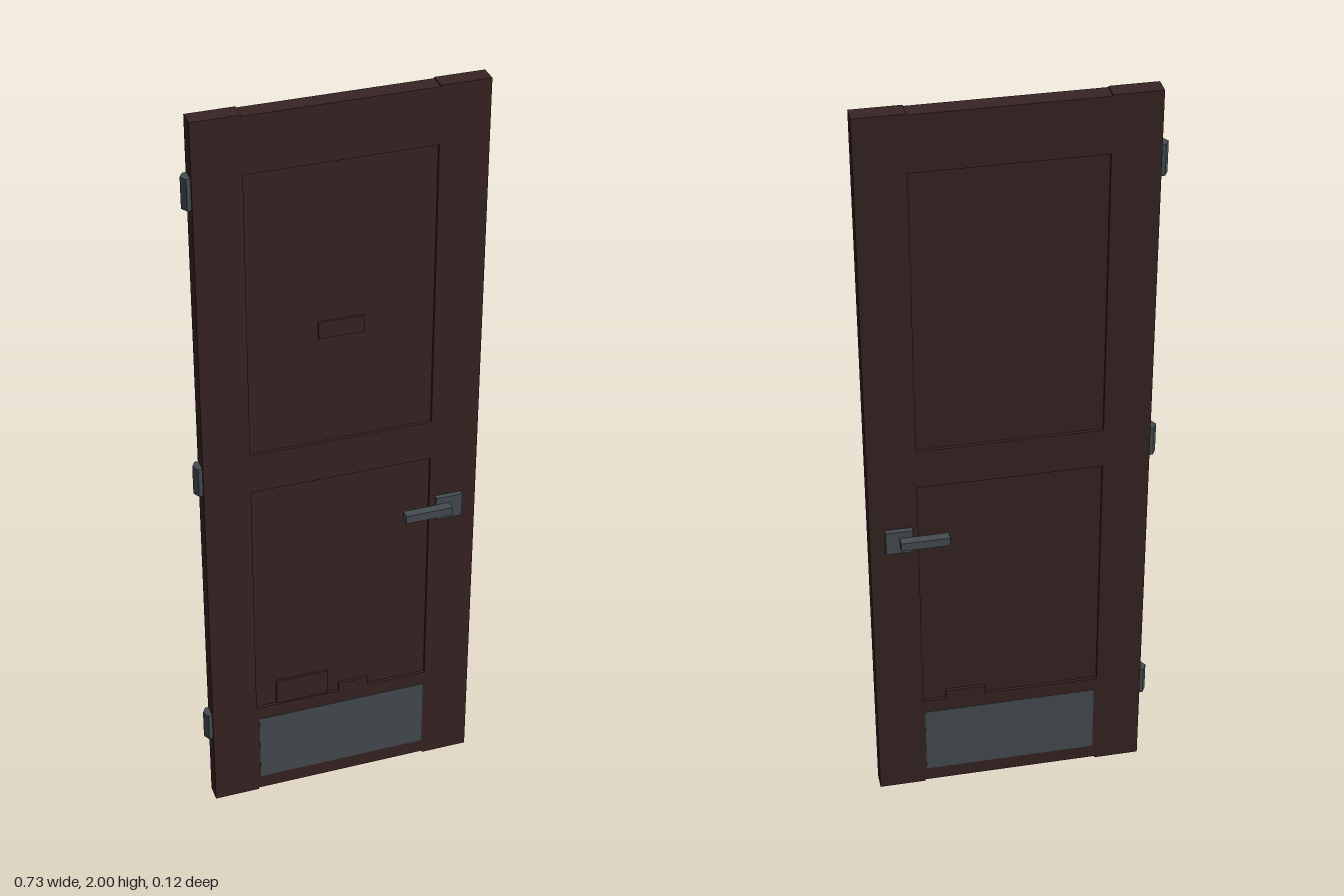
import * as THREE from 'three';

const wood = new THREE.MeshStandardMaterial({ color: 0x382424 });
wood.name = 'darkWood';
const metal = new THREE.MeshStandardMaterial({ color: 0x454d51 });
metal.name = 'greyMetal';

// Box given by its limits on each axis
function box(parent, name, material, [x0, x1], [y0, y1], [z0, z1]) {
  const mesh = new THREE.Mesh(new THREE.BoxGeometry(x1 - x0, y1 - y0, z1 - z0), material);
  mesh.position.set((x0 + x1) / 2, (y0 + y1) / 2, (z0 + z1) / 2);
  mesh.name = name;
  parent.add(mesh);
  return mesh;
}

export function createModel() {
  const door = new THREE.Group();
  door.name = 'door';
  const T = 0.0225; // half thickness of the frame
  const P = 0.0145; // half thickness of the sunken panels
  const full = [-T, T];
  const inner = [-0.226, 0.24];

  // Frame: two full-height stiles and three rails
  box(door, 'hingeStile', wood, [-0.345, inner[0]], [0, 2], full);
  box(door, 'latchStile', wood, [inner[1], 0.363], [0, 2], full);
  box(door, 'topRail', wood, inner, [1.852, 1.997], full);
  box(door, 'middleRail', wood, inner, [0.981, 1.09], full);
  box(door, 'bottomRail', wood, inner, [0.005, 0.285], full);

  // Sunken panels
  box(door, 'upperPanel', wood, inner, [1.09, 1.852], [-P, P]);
  box(door, 'lowerPanel', wood, inner, [0.285, 0.981], [-P, P]);

  // Plates on the front panels and small tabs above the bottom rail
  box(door, 'namePlate', wood, [-0.05, 0.065], [1.386, 1.431], [P, P + 0.006]);
  box(door, 'lowerPlate', wood, [-0.17, -0.031], [0.287, 0.36], [P, P + 0.006]);
  box(door, 'frontTab', wood, [0, 0.08], [0.285, 0.31], [P, T]);
  box(door, 'backTab', wood, [0.075, 0.18], [0.285, 0.31], [-T, -P]);

  // Kick plate, rosette and lever on each face
  for (const [side, s] of [['front', 1], ['back', -1]]) {
    const span = (a, b) => (s > 0 ? [a, b] : [-b, -a]);
    box(door, side + 'KickPlate', metal, [-0.219, 0.236], [0.045, 0.246], span(T - 0.002, T + 0.001));
    const handle = new THREE.Group();
    handle.name = side + 'Handle';
    box(handle, 'rosette', metal, [0.255, 0.324], [0.796, 0.862], span(T, 0.036));
    box(handle, 'lever', metal, [0.166, 0.289], [0.82, 0.843], span(0.036, 0.0595));
    door.add(handle);
  }

  // Six-sided hinge barrels half sunk in the edge
  const barrel = new THREE.CylinderGeometry(0.02, 0.02, 0.08, 6, 1, false, Math.PI / 2).toNonIndexed();
  barrel.computeVertexNormals();
  for (const y of [0.25, 1.035, 1.82]) {
    const hinge = new THREE.Mesh(barrel, metal);
    hinge.name = 'hinge';
    hinge.position.set(-0.345, y, 0);
    door.add(hinge);
  }
  return door;
}
